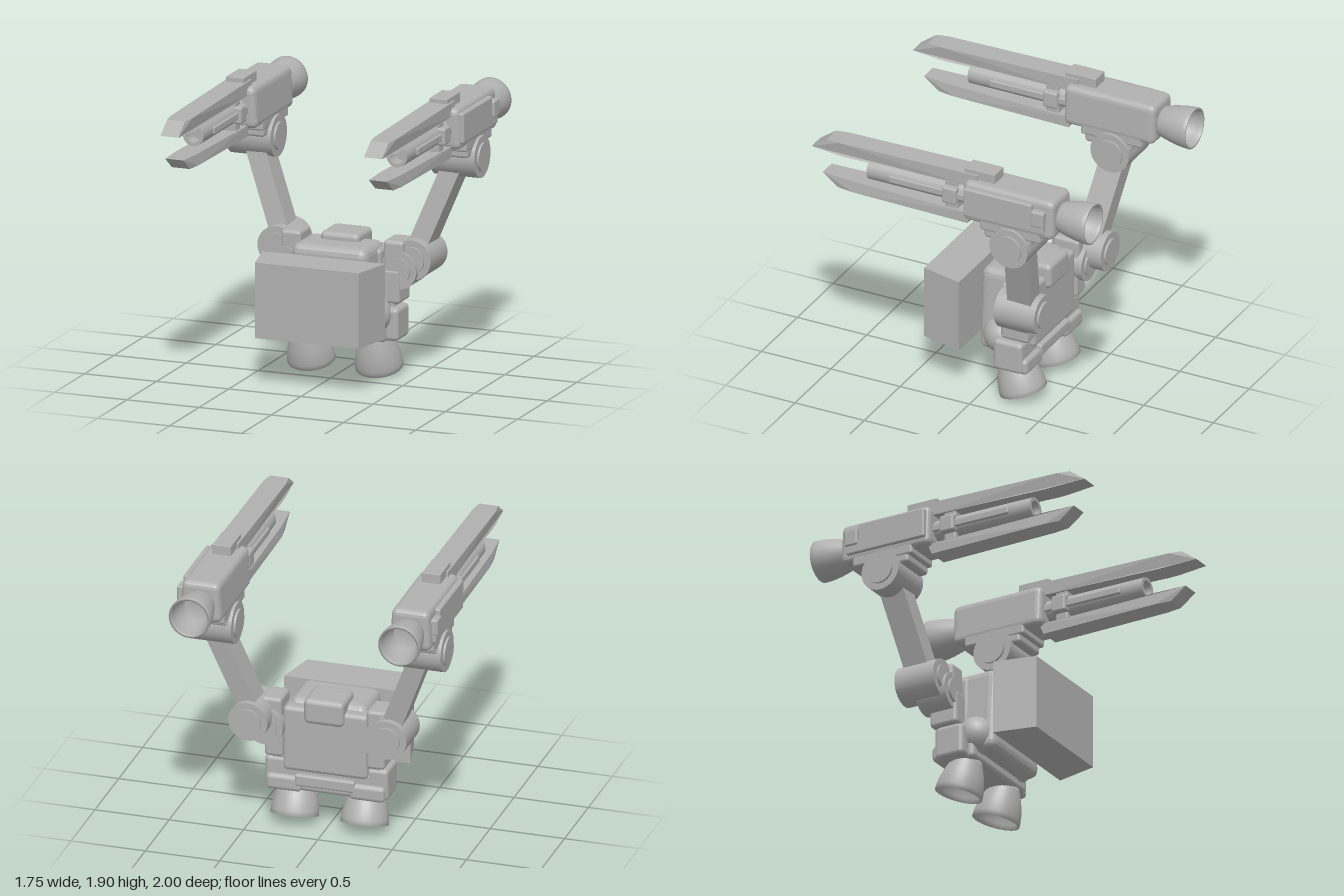
import * as THREE from 'three';
import { RoundedBoxGeometry } from 'three/addons/geometries/RoundedBoxGeometry.js';

const grey = new THREE.MeshStandardMaterial({ color: 0xb0b0b0 });
grey.name = 'grey';

function add(parent, name, geometry, x = 0, y = 0, z = 0) {
  const mesh = new THREE.Mesh(geometry, grey);
  mesh.name = name;
  mesh.position.set(x, y, z);
  parent.add(mesh);
  return mesh;
}

// Soft-edged box given by its limits on each axis
function block(parent, name, [x0, x1], [y0, y1], [z0, z1], r = 0.02) {
  const g = new RoundedBoxGeometry(Math.abs(x1 - x0), y1 - y0, z1 - z0, 2, r);
  return add(parent, name, g, (x0 + x1) / 2, (y0 + y1) / 2, (z0 + z1) / 2);
}

// Scale x from 1 at the bottom of a geometry to k at the top
function taper(geometry, k) {
  geometry.computeBoundingBox();
  const { min, max } = geometry.boundingBox;
  const p = geometry.attributes.position;
  for (let i = 0; i < p.count; i++) {
    const t = (p.getY(i) - min.y) / (max.y - min.y);
    p.setX(i, p.getX(i) * (1 + (k - 1) * t));
  }
  geometry.computeVertexNormals();
}

// Hollow bell: opens towards -y, neck at y = 0
function bell(neck, mouth, length) {
  const pts = [];
  const radius = (t) => neck + (mouth - neck) * Math.sin(t * Math.PI / 2);
  for (let i = 0; i <= 8; i++) pts.push([radius(i / 8), -length * i / 8]);
  for (let i = 8; i >= 1; i--) pts.push([radius(i / 8) - 0.014, -length * i / 8]);
  pts.push([0, -length / 8]);
  // outline runs bottom to top on the outside so the faces point outwards
  const profile = [[0, 0], ...pts].reverse().map(([r, y]) => new THREE.Vector2(r, y));
  return new THREE.LatheGeometry(profile, 32);
}

// Pivot drum with raised end caps; axis is 'x' or 'z'
function drum(parent, name, r, length, axis, x, y, z) {
  const g = new THREE.Group();
  g.name = name;
  add(g, name + 'Body', new THREE.CylinderGeometry(r, r, length, 32));
  add(g, name + 'Cap', new THREE.CylinderGeometry(r * 0.68, r * 0.68, length + 0.03, 32));
  if (axis === 'x') g.rotation.z = Math.PI / 2;
  else g.rotation.x = Math.PI / 2;
  g.position.set(x, y, z);
  parent.add(g);
}

// Gun rail: (z, y) profile extruded across x, narrowed past zTaper
function rail(parent, name, profile, zTaper) {
  const width = 0.152;
  const shape = new THREE.Shape(profile.map(([z, y]) => new THREE.Vector2(z, y)));
  const g = new THREE.ExtrudeGeometry(shape, { depth: width, bevelEnabled: false });
  g.rotateY(-Math.PI / 2).translate(width / 2, 0, 0);
  const p = g.attributes.position;
  for (let i = 0; i < p.count; i++) if (p.getZ(i) > zTaper) p.setX(i, p.getX(i) * 0.82);
  g.computeVertexNormals();
  add(parent, name, g);
}

function gun(s) {
  const g = new THREE.Group();
  g.name = s > 0 ? 'leftGun' : 'rightGun';
  g.position.x = s * 0.705;

  // Housing, stepped underside and outer side panel
  taper(block(g, 'housing', [-0.14, 0.14], [1.565, 1.84], [-0.775, -0.12], 0.04).geometry, 0.9);
  block(g, 'underStep', [-0.135, 0.135], [1.525, 1.62], [-0.685, -0.245], 0.015);
  block(g, 'lowerStep', [-0.13, 0.13], [1.475, 1.6], [-0.61, -0.275], 0.02);
  block(g, 'sidePanel', [s * 0.1, s * 0.16], [1.61, 1.81], [-0.63, -0.14], 0.012);
  block(g, 'rearPanel', [s * 0.1, s * 0.16], [1.61, 1.7], [-0.72, -0.56], 0.012);
  block(g, 'panelLatch', [s * 0.1, s * 0.172], [1.665, 1.775], [-0.725, -0.63], 0.012);
  block(g, 'topSight', [-0.062, 0.062], [1.8, 1.905], [-0.32, -0.1], 0.004);

  // Upper and lower rails
  rail(g, 'upperRail', [[1.0, 1.78], [0.89, 1.86], [0.8, 1.862], [-0.2, 1.876],
    [-0.2, 1.785], [-0.12, 1.785], [0.73, 1.768], [0.8, 1.77]], 0.82);
  rail(g, 'lowerRail', [[0.92, 1.61], [0.7, 1.605], [-0.16, 1.585],
    [-0.13, 1.512], [0.7, 1.525], [0.81, 1.527]], 0.72);

  // Barrel with a hollow muzzle, side strips and clamp
  const tube = [[0, 0.5], [0.05, 0.5], [0.05, 0.6], [0.072, 0.6], [0.072, -0.15]];
  const barrel = new THREE.LatheGeometry(tube.reverse().map(([r, y]) => new THREE.Vector2(r, y)), 32)
    .toNonIndexed();
  barrel.computeVertexNormals();
  add(g, 'barrel', barrel, 0, 1.693, 0).rotation.x = Math.PI / 2;
  for (const d of [-1, 1]) {
    block(g, 'barrelStrip', [d * 0.05, d * 0.083], [1.665, 1.715], [-0.15, 0.44], 0.01);
  }
  block(g, 'clampUpright', [-0.062, 0.062], [1.565, 1.82], [-0.05, 0.04], 0.015);
  block(g, 'clampCross', [-0.105, 0.105], [1.635, 1.75], [-0.06, 0.045], 0.015);

  // Rear exhaust
  add(g, 'rearNozzle', bell(0.095, 0.138, 0.24), 0, 1.69, -0.76).rotation.x = Math.PI / 2;
  return g;
}

function arm(s) {
  const g = new THREE.Group();
  g.name = s > 0 ? 'leftArm' : 'rightArm';
  drum(g, 'innerShoulder', 0.125, 0.22, 'z', s * 0.39, 0.712, -0.3);
  drum(g, 'shoulder', 0.132, 0.29, 'z', s * 0.467, 0.78, -0.37);
  drum(g, 'elbow', 0.138, 0.31, 'x', s * 0.705, 1.447, -0.467);

  // Strut between the two pivots
  const a = new THREE.Vector3(s * 0.45, 0.784, -0.37);
  const b = new THREE.Vector3(s * 0.705, 1.44, -0.467);
  const strut = add(g, 'strut', new THREE.BoxGeometry(0.13, a.distanceTo(b), 0.17));
  strut.position.copy(a).lerp(b, 0.5);
  strut.quaternion.setFromUnitVectors(new THREE.Vector3(0, 1, 0), b.clone().sub(a).normalize());
  return g;
}

export function createModel() {
  const model = new THREE.Group();
  model.name = 'jetPack';

  // Central pack
  const pack = new THREE.Group();
  pack.name = 'pack';
  model.add(pack);
  taper(block(pack, 'packBody', [-0.3, 0.3], [0.31, 0.885], [-0.3, 0.045], 0.055).geometry, 0.86);
  block(pack, 'backPanel', [-0.285, 0.285], [0.4, 0.85], [-0.36, -0.15], 0.03);
  block(pack, 'topBlock', [-0.135, 0.135], [0.76, 0.935], [-0.395, -0.14], 0.035);
  block(pack, 'lowerBar', [-0.34, 0.34], [0.25, 0.44], [-0.33, -0.08], 0.03);
  block(pack, 'lowerBarRidge', [-0.2, 0.2], [0.3, 0.38], [-0.365, -0.28], 0.015);

  for (const s of [-1, 1]) {
    // Side posts, lower corner boxes and rounded tanks
    block(pack, 'sidePost', [s * 0.285, s * 0.425], [0.66, 0.905], [-0.38, -0.185], 0.025);
    block(pack, 'lowerPost', [s * 0.28, s * 0.405], [0.49, 0.72], [-0.37, -0.17], 0.025);
    block(pack, 'postLink', [s * 0.28, s * 0.37], [0.42, 0.54], [-0.32, -0.18], 0.015);
    block(pack, 'cornerBox', [s * 0.27, s * 0.415], [0.255, 0.475], [-0.33, -0.12], 0.03);
    block(pack, 'cornerFoot', [s * 0.16, s * 0.4], [0.25, 0.36], [-0.36, -0.2], 0.03);
    add(pack, 'sideTank', new THREE.SphereGeometry(0.13, 24, 16), s * 0.24, 0.43, -0.11);

    // Tilted thruster under the pack
    add(pack, 'thruster', bell(0.09, 0.157, 0.25), s * 0.235, 0.293, -0.178).rotation.x = 0.3;
    model.add(arm(s), gun(s));
  }

  // Front block, narrower at its front face
  const outline = [[-0.425, 0.115], [0.425, 0.115], [0.358, 0.4], [-0.358, 0.4]];
  const front = new THREE.ExtrudeGeometry(
    new THREE.Shape(outline.map(([x, z]) => new THREE.Vector2(x, -z))),
    { depth: 0.5, bevelEnabled: false });
  front.rotateX(-Math.PI / 2);
  add(model, 'frontBlock', front, 0, 0.335, 0);
  return model;
}
